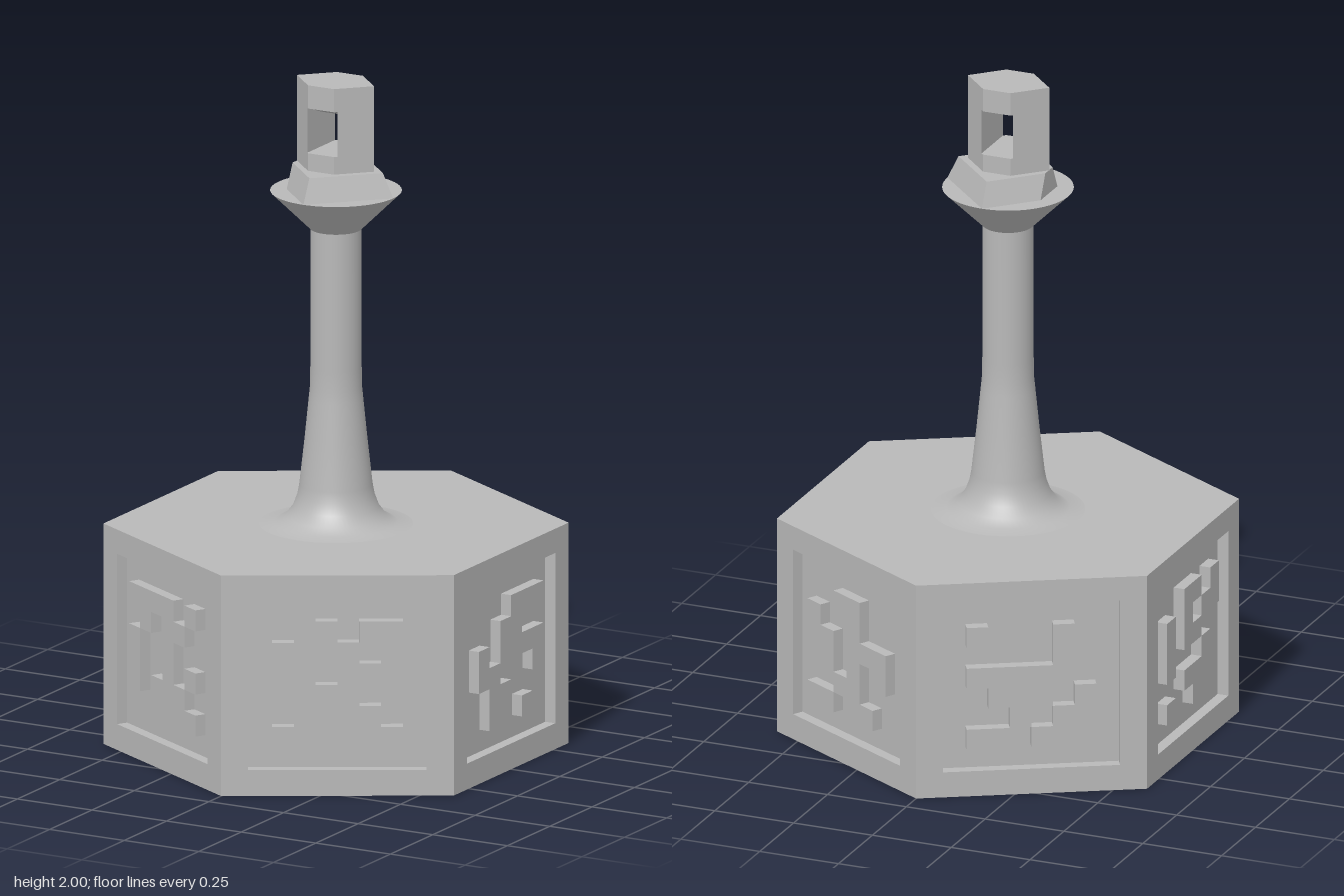
import * as THREE from 'three';
import { ConvexGeometry } from 'three/addons/geometries/ConvexGeometry.js';

const APOTHEM = 0.587, HEIGHT = 0.665, DEPTH = 0.034, CELL = 0.0635, MID = 0.335;

// Raised cells on each side panel, top row first, starting at the front left face
const PATTERNS = [
  ['####.#', '.#.##.', '#..#..', '#..#.#', '#.###.', '....##'],
  ['..#.##', '#.##.#', '#..###', '..##..', '...##.', '#....#'],
  ['...###', '..##..', '#.####', '##...#', '.##...', '.##.#.'],
  ['..##..', '#..#..', '.#.###', '.#.#.#', '..##..', '##..#.'],
  ['#...#.', '....#.', '####..', '.###.#', '..#.##', '##.##.'],
  ['..##.#', '#.#.##', '#.##..', '#...#.', '..##..', '#..#..'],
];

export function createModel() {
  const grey = new THREE.MeshStandardMaterial({ color: 0xb8b8b8 });
  grey.name = 'grey';
  const root = new THREE.Group();
  root.name = 'hexagonalStamp';

  const add = (parent, name, geometry) => {
    const mesh = new THREE.Mesh(geometry, grey);
    mesh.name = name;
    parent.add(mesh);
    return mesh;
  };
  const lathe = (points) =>
    new THREE.LatheGeometry(points.map(([r, y]) => new THREE.Vector2(r, y)), 64);
  // Convex solid between two outlines of [x, z] corners
  const loft = (lower, y0, upper, y1) => new ConvexGeometry([
    ...lower.map(([x, z]) => new THREE.Vector3(x, y0, z)),
    ...upper.map(([x, z]) => new THREE.Vector3(x, y1, z)),
  ]);

  // Base core, whose sides are the floors of the sunken panels
  const coreRadius = (APOTHEM - DEPTH) / Math.cos(Math.PI / 6);
  const core = new THREE.CylinderGeometry(coreRadius, coreRadius, HEIGHT, 6).toNonIndexed();
  core.computeVertexNormals();
  add(root, 'baseCore', core).position.y = HEIGHT / 2;

  // Frame around one sunken panel
  const half = APOTHEM * Math.tan(Math.PI / 6);
  const outline = new THREE.Shape([
    new THREE.Vector2(-half, 0), new THREE.Vector2(half, 0),
    new THREE.Vector2(half, HEIGHT), new THREE.Vector2(-half, HEIGHT),
  ]);
  outline.holes.push(new THREE.Path([
    new THREE.Vector2(-0.26, 0.078), new THREE.Vector2(-0.26, 0.592),
    new THREE.Vector2(0.26, 0.592), new THREE.Vector2(0.26, 0.078),
  ]));
  const frame = new THREE.ExtrudeGeometry(outline, { depth: DEPTH, bevelEnabled: false });

  PATTERNS.forEach((rows, i) => {
    const side = new THREE.Group();
    side.name = 'sidePanel' + (i + 1);
    side.rotation.y = (i - 0.5) * Math.PI / 3;
    root.add(side);
    add(side, 'panelFrame', frame).position.z = APOTHEM - DEPTH;
    // Each horizontal run of cells becomes one block
    rows.forEach((row, r) => {
      for (const run of row.matchAll(/#+/g)) {
        const n = run[0].length;
        add(side, 'raisedBlock', new THREE.BoxGeometry(n * CELL, CELL, DEPTH)).position.set(
          (run.index + n / 2 - 3) * CELL, MID + (2.5 - r) * CELL, APOTHEM - DEPTH / 2);
      }
    });
  });

  // Handle with a flared foot
  add(root, 'handle', lathe([
    [0.225, 0.665], [0.18, 0.671], [0.148, 0.689], [0.126, 0.718], [0.113, 0.753],
    [0.107, 0.785], [0.092, 0.92], [0.08, 1.04], [0.076, 1.08], [0.075, 1.14], [0.075, 1.556],
  ]));

  // Conical collar with a flat top
  add(root, 'collar', lathe([[0.075, 1.555], [0.192, 1.67]]));
  const top = add(root, 'collarTop', new THREE.CircleGeometry(0.192, 64));
  top.rotation.x = -Math.PI / 2;
  top.position.y = 1.67;

  // Tapered diamond plinth, cut flat on one side
  const diamond = (r) => [[r, 0], [0, r], [-0.13, r - 0.13], [-0.13, 0.13 - r], [0, -r]];
  add(root, 'plinth', loft(diamond(0.192), 1.67, diamond(0.157), 1.742));

  // Finial: six-sided post with an opening through it
  const hex = [[0.127, 0], [0.042, 0.086], [-0.045, 0.086], [-0.131, 0], [-0.045, -0.086], [0.042, -0.086]];
  add(root, 'finialSill', loft(hex, 1.74, hex, 1.795));
  add(root, 'finialCap', loft(hex, 1.93, hex, 2));
  const right = [[0.127, 0], [0.05, 0.078], [0.05, -0.078]];
  const left = [[-0.131, 0], [-0.05, 0.081], [-0.05, -0.081]];
  add(root, 'finialRightPost', loft(right, 1.795, right, 1.93));
  add(root, 'finialLeftPost', loft(left, 1.795, left, 1.93));
  // Opening roof slopes down to a ridge in the middle
  add(root, 'finialRoofWedge', loft([[-0.05, 0], [0.05, 0]], 1.9,
    [[-0.05, 0.078], [0.05, 0.078], [0.05, -0.078], [-0.05, -0.078]], 1.93));

  return root;
}
